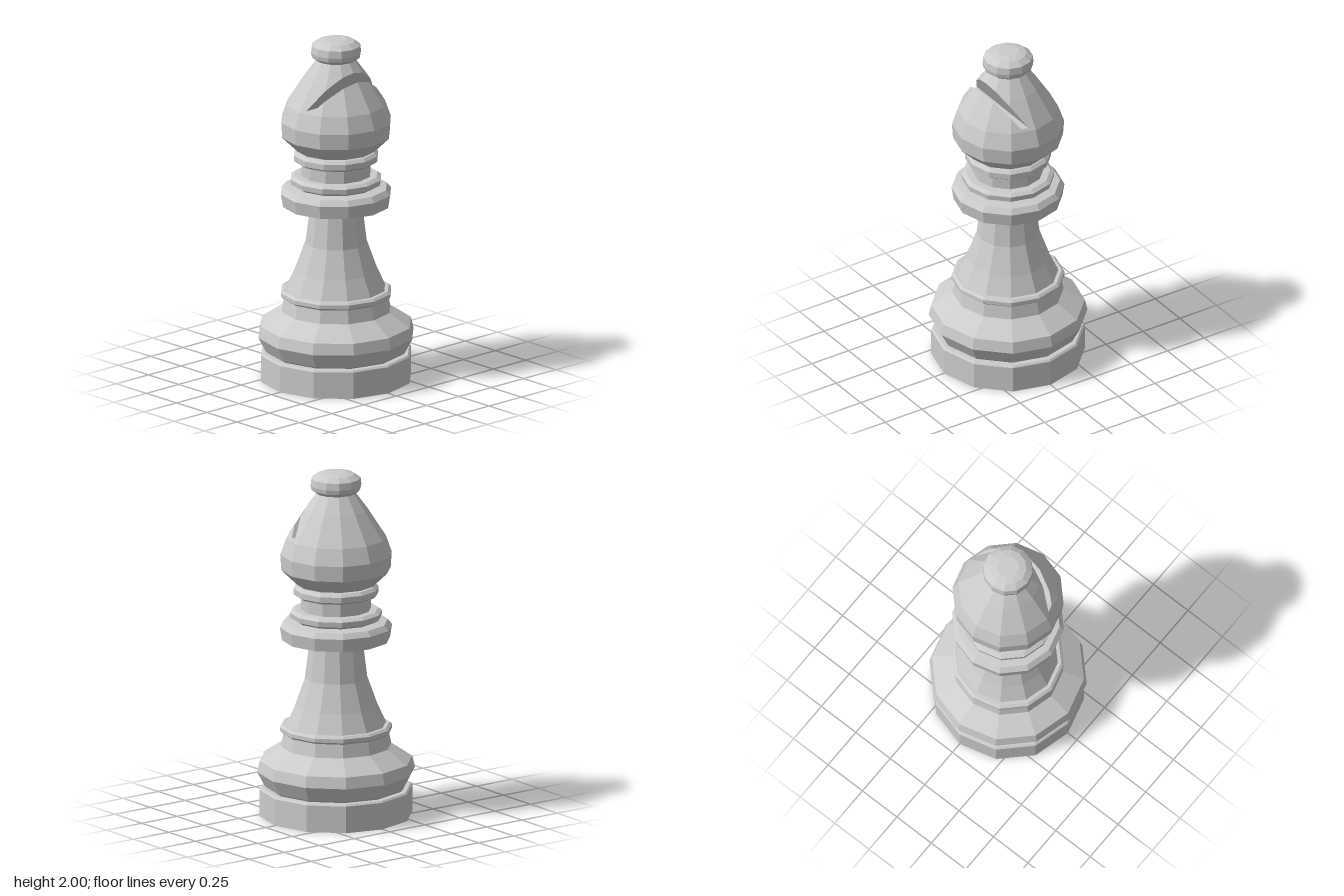
import * as THREE from 'three';

const SIDES = 12;
const material = new THREE.MeshStandardMaterial({ color: 0xcccccc, flatShading: true });

// Turned part from [radius, height] pairs, bottom to top
function turn(profile) {
  const points = profile.map(([r, y]) => new THREE.Vector2(r, y));
  const geometry = new THREE.LatheGeometry(points, SIDES).toNonIndexed();
  geometry.computeVertexNormals();
  return geometry;
}

// Slot in the head: floor height, then the lines of its two walls in x and y
const FLOOR = 1.635;
const INNER = { x: 0.036, slope: 0.56 };
const OUTER = { x: 0.079, slope: 0.68 };
const above = (p) => p.y - FLOOR;
const below = (p) => FLOOR - p.y;
const wallX = (wall, y) => wall.x + wall.slope * (y - FLOOR);
const inside = (p) => wallX(INNER, p.y) - p.x;
const outside = (p) => p.x - wallX(OUTER, p.y);

// Keep the part of a polygon where the distance is positive
function clip(polygon, distance) {
  const result = [];
  polygon.forEach((p, i) => {
    const q = polygon[(i + 1) % polygon.length];
    const a = distance(p), b = distance(q);
    if (a >= 0) result.push(p);
    if ((a > 0 && b < 0) || (a < 0 && b > 0)) result.push(p.clone().lerp(q, a / (a - b)));
  });
  return result.length > 2 ? result : [];
}

// Cut the slanted slot through the head and close it with walls and a floor
function cutSlot(geometry, floorRadius) {
  const out = [];
  const add = (polygon) => {
    for (let i = 2; i < polygon.length; i++) out.push(polygon[0], polygon[i - 1], polygon[i]);
  };
  const keepSide = (polygon, distance, wall) => {
    const piece = clip(polygon, distance);
    add(piece);
    const foot = new THREE.Vector3(wall.x, FLOOR, 0);
    piece.forEach((p, i) => {
      const q = piece[(i + 1) % piece.length];
      if (Math.abs(distance(p)) < 1e-6 && Math.abs(distance(q)) < 1e-6) add([q, p, foot]);
    });
  };
  const position = geometry.attributes.position;
  for (let i = 0; i < position.count; i += 3) {
    const triangle = [0, 1, 2].map((k) => new THREE.Vector3().fromBufferAttribute(position, i + k));
    add(clip(triangle, below));
    const upper = clip(triangle, above);
    keepSide(upper, inside, INNER);
    keepSide(upper, outside, OUTER);
  }
  // Floor of the slot
  const edge = (wall, sign) =>
    new THREE.Vector3(wall.x, FLOOR, sign * (floorRadius - wall.x * Math.tan(Math.PI / SIDES)));
  add([edge(INNER, 1), edge(OUTER, 1), edge(OUTER, -1), edge(INNER, -1)]);

  const result = new THREE.BufferGeometry().setFromPoints(out);
  result.computeVertexNormals();
  return result;
}

export function createModel() {
  const model = new THREE.Group();
  model.name = 'chessBishop';
  const addPart = (name, geometry) => {
    const mesh = new THREE.Mesh(geometry, material);
    mesh.name = name;
    model.add(mesh);
  };

  // Plinth and wide foot
  addPart('plinth', turn([[0, 0], [0.435, 0], [0.435, 0.155], [0.425, 0.165], [0, 0.165]]));
  addPart('foot', turn([
    [0, 0.16], [0.385, 0.16], [0.405, 0.175], [0.45, 0.26], [0.435, 0.325], [0.315, 0.405], [0.298, 0.49], [0, 0.49],
  ]));
  addPart('footRing', turn([
    [0, 0.483], [0.305, 0.483], [0.32, 0.495], [0.32, 0.517], [0.305, 0.53], [0, 0.535],
  ]));

  // Flared stem
  addPart('stem', turn([
    [0, 0.52], [0.285, 0.53], [0.235, 0.64], [0.178, 0.8], [0.152, 1.01], [0, 1.02],
  ]));

  // Collar discs and neck
  addPart('collar', turn([
    [0, 1.01], [0.25, 1.01], [0.308, 1.025], [0.32, 1.1], [0.295, 1.13], [0.22, 1.14], [0, 1.14],
  ]));
  addPart('lowerNeckRing', turn([
    [0, 1.135], [0.235, 1.14], [0.26, 1.155], [0.263, 1.185], [0.24, 1.2], [0, 1.207],
  ]));
  addPart('neck', turn([[0, 1.19], [0.2, 1.195], [0.198, 1.29], [0, 1.29]]));
  addPart('upperNeckRing', turn([
    [0, 1.277], [0.225, 1.28], [0.243, 1.293], [0.243, 1.325], [0.225, 1.342], [0, 1.35],
  ]));

  // Slotted head
  const low = [0.284, 1.62], high = [0.178, 1.785];
  const t = (FLOOR - low[1]) / (high[1] - low[1]);
  const head = turn([
    [0, 1.345], [0.225, 1.35], [0.312, 1.435], [0.318, 1.525], low, high, [0.105, 1.885], [0, 1.89],
  ]);
  addPart('head', cutSlot(head, THREE.MathUtils.lerp(low[0], high[0], t)));

  // Finial
  addPart('finial', turn([
    [0, 1.88], [0.115, 1.88], [0.14, 1.9], [0.145, 1.925], [0.14, 1.965], [0.105, 1.99], [0.062, 2], [0, 2],
  ]));
  return model;
}
